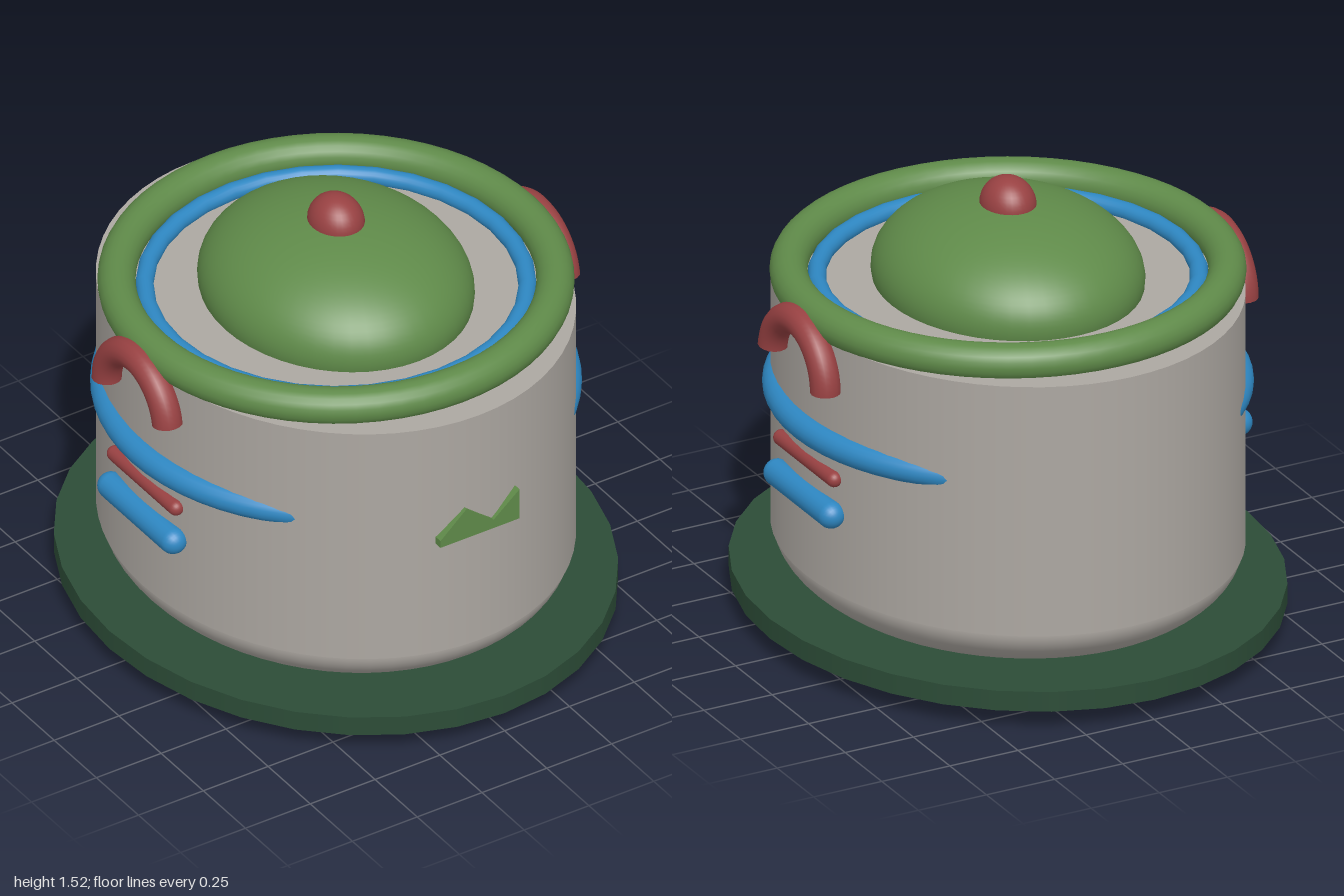
import * as THREE from 'three';

const mat = (name, color) => {
  const m = new THREE.MeshStandardMaterial({ color });
  m.name = name;
  return m;
};

export function createModel() {
  const grey = mat('warm grey', 0xaca7a1);
  const green = mat('leaf green', 0x5f8a49);
  const darkGreen = mat('dark green', 0x2c4c37);
  const blue = mat('blue', 0x2e87c2);
  const red = mat('brick red', 0x984142);

  const model = new THREE.Group();
  model.name = 'pot';
  const add = (name, geometry, material, x = 0, y = 0, z = 0) => {
    const mesh = new THREE.Mesh(geometry, material);
    mesh.name = name;
    mesh.position.set(x, y, z);
    model.add(mesh);
    return mesh;
  };
  const ring = (radius, tube, segments) =>
    new THREE.TorusGeometry(radius, tube, 20, segments).rotateX(Math.PI / 2);

  // Oval body with a rounded bowl beneath it
  add('body', new THREE.CylinderGeometry(1, 1, 0.89, 64).scale(0.745, 1, 0.848), grey, 0, 0.715);
  add('bowlBottom',
    new THREE.SphereGeometry(1, 64, 24, 0, Math.PI * 2, Math.PI / 2, Math.PI / 2).scale(0.738, 0.27, 0.84),
    grey, 0, 0.27);

  // Oval stand plate
  add('standPlate', new THREE.CylinderGeometry(1, 1, 0.07, 32).scale(0.875, 1, 1), darkGreen, 0, 0.105);

  // Lid: outer rim, inner ring, dome and knob
  add('lidRim', ring(0.71, 0.062, 64), green, 0, 1.198);
  add('innerRing', ring(0.62, 0.03, 32), blue, 0, 1.175);
  add('lidDome',
    new THREE.SphereGeometry(1, 48, 24, 0, Math.PI * 2, 0, Math.PI * 0.55).scale(0.43, 0.25, 0.492),
    green, 0, 1.19);
  add('lidKnob', new THREE.SphereGeometry(1, 32, 20).scale(0.09, 0.095, 0.103), red, 0, 1.43);

  // Round band that emerges from the oval body at both sides
  add('sideBand', ring(0.75, 0.046, 64), blue, 0, 0.8);

  // Handles and bars on both sides
  const handle = new THREE.TorusGeometry(0.18, 0.05, 16, 32, 3).rotateY(Math.PI / 2);
  const bar = (radius, length) =>
    new THREE.CapsuleGeometry(radius, length, 8, 20).rotateX(Math.PI / 2);
  for (const [side, s] of [['left', 1], ['right', -1]]) {
    add(side + 'Handle', handle, red, s * 0.767, 1.0);
    add(side + 'ThinBar', bar(0.027, 0.36), red, s * 0.735, 0.683);
    add(side + 'LowerBar', bar(0.046, 0.365), blue, s * 0.748, 0.56);
  }

  // Two-peaked emblem on the front
  const peaks = [[-0.155, 0.7], [0.15, 0.7], [0.15, 0.815], [0.05, 0.733], [-0.055, 0.815], [-0.155, 0.727]];
  const shape = new THREE.Shape(peaks.map(([x, y]) => new THREE.Vector2(x, y)));
  add('frontPeaks', new THREE.ExtrudeGeometry(shape, { depth: 0.03, bevelEnabled: false }), green, 0, 0, 0.828);

  return model;
}
